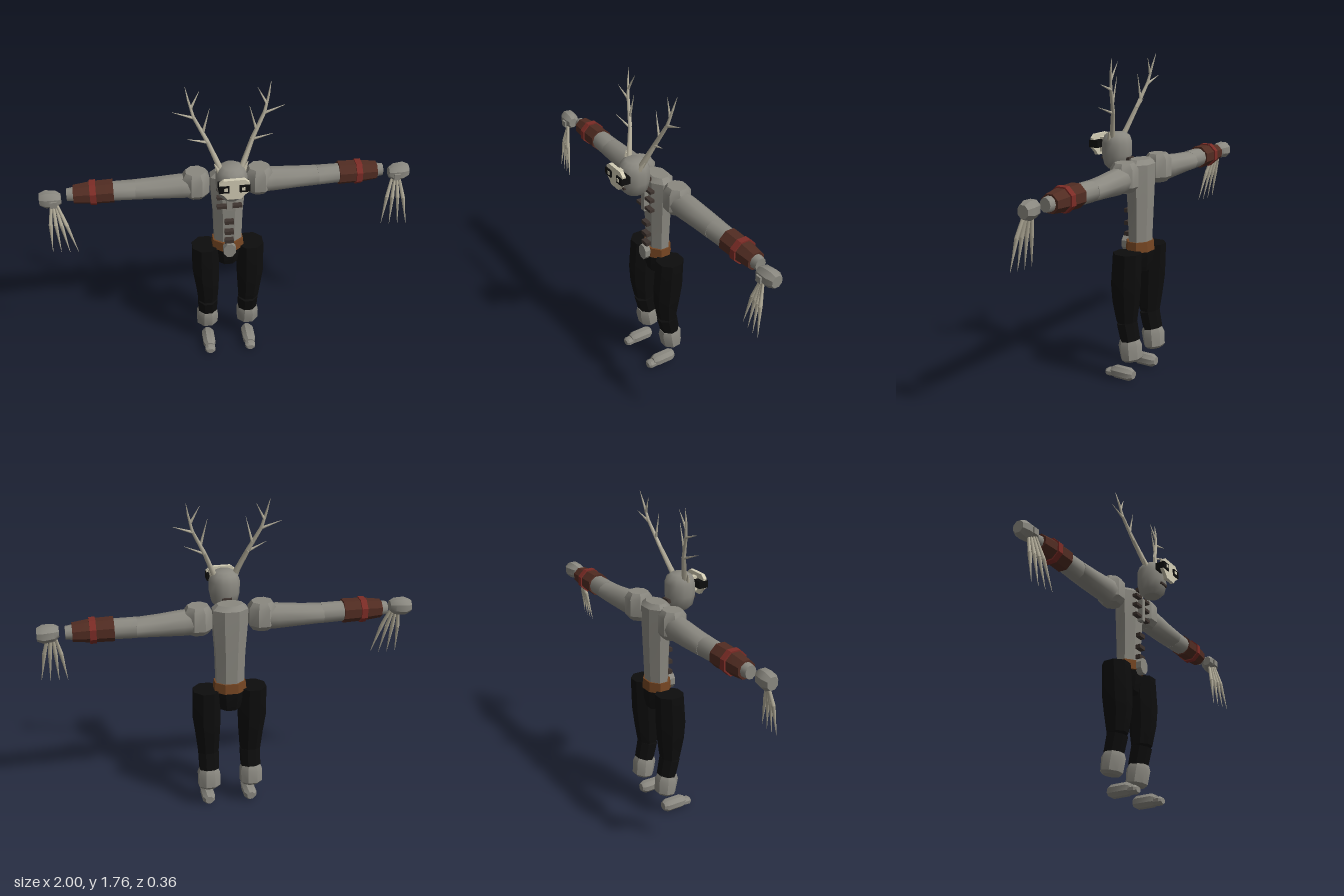
import * as THREE from 'three';
import { toCreasedNormals } from 'three/addons/utils/BufferGeometryUtils.js';

const mat = (name, color) => {
  const m = new THREE.MeshStandardMaterial({ color });
  m.name = name;
  return m;
};

export function createModel() {
  const model = new THREE.Group();
  model.name = 'antleredFigure';
  const skin = mat('greySkin', 0x8a8880), bone = mat('bone', 0xd2ccb4), horn = mat('horn', 0xb3ad9a);
  const cloth = mat('blackCloth', 0x0d0d0d), leather = mat('beltLeather', 0x744522);
  const wrap = mat('armWrap', 0x512c22), red = mat('redBand', 0x7c2c26), dark = mat('darkRib', 0x3e342f);

  const add = (name, geo, material, crease = 0.6) => {
    const mesh = new THREE.Mesh(toCreasedNormals(geo, crease), material);
    mesh.name = name;
    model.add(mesh);
    return mesh;
  };

  // Capped solid through cross-sections [x, y, z, radiusA, radiusB] along one axis
  function loft(axis, sections, n = 8) {
    const pos = [], idx = [], k = 1 / Math.cos(Math.PI / n);
    for (const [x, y, z, a, b = a] of sections) {
      for (let i = 0; i < n; i++) {
        const t = ((i + 0.5) / n) * Math.PI * 2;
        const c = Math.cos(t) * a * k, s = Math.sin(t) * b * k;
        if (axis === 'y') pos.push(x + c, y, z + s);
        else if (axis === 'x') pos.push(x, y + c, z + s);
        else pos.push(x + c, y + s, z);
      }
    }
    const m = sections.length, first = pos.length / 3;
    for (const s of [sections[0], sections[m - 1]]) pos.push(s[0], s[1], s[2]);
    for (let i = 0; i < n; i++) {
      const j = (i + 1) % n;
      for (let r = 0; r < m - 1; r++) {
        const p = r * n, q = p + n;
        idx.push(p + i, q + i, p + j, p + j, q + i, q + j);
      }
      const e = (m - 1) * n;
      idx.push(first, i, j, first + 1, e + j, e + i);
    }
    // Keep faces outward whichever way the sections run
    const v = (i) => new THREE.Vector3().fromArray(pos, i * 3).sub(new THREE.Vector3(...sections[0].slice(0, 3)));
    let volume = 0;
    for (let i = 0; i < idx.length; i += 3) volume += v(idx[i]).dot(v(idx[i + 1]).cross(v(idx[i + 2])));
    if (volume < 0) idx.reverse();
    const g = new THREE.BufferGeometry();
    g.setAttribute('position', new THREE.Float32BufferAttribute(pos, 3));
    g.setIndex(idx);
    return g;
  }

  // Tapered rod between two points
  function rod(name, a, b, r0, r1, material, n = 6) {
    const p = new THREE.Vector3(...a), q = new THREE.Vector3(...b), d = q.clone().sub(p);
    const g = new THREE.CylinderGeometry(r1, r0, d.length(), n);
    g.applyQuaternion(new THREE.Quaternion().setFromUnitVectors(new THREE.Vector3(0, 1, 0), d.normalize()));
    g.translate((a[0] + b[0]) / 2, (a[1] + b[1]) / 2, (a[2] + b[2]) / 2);
    return add(name, g, material, 1.1);
  }

  const box = (name, x, y, z, w, h, d, material) =>
    add(name, new THREE.BoxGeometry(w, h, d).translate(x, y, z), material);

  // Torso, belt and pelvis
  add('torso', loft('y', [[0, 0.76, -0.1, 0.075, 0.055], [0, 0.95, -0.1, 0.08, 0.062],
    [0, 1.12, -0.098, 0.093, 0.068], [0, 1.195, -0.1, 0.093, 0.066], [0, 1.22, -0.1, 0.065, 0.045]]), skin);
  add('belt', loft('y', [[0, 0.72, -0.098, 0.088, 0.069], [0, 0.775, -0.098, 0.083, 0.065]]), leather);
  add('buckle', loft('z', [[0, 0.745, -0.035, 0.034, 0.043], [0, 0.745, 0, 0.034, 0.043]]), skin);
  add('pelvis', loft('y', [[0, 0.61, -0.1, 0.055, 0.05], [0, 0.66, -0.1, 0.07, 0.062], [0, 0.73, -0.1, 0.08, 0.064]]), cloth);

  // Breastbone, ribs and belly bars
  box('breastbone', 0, 1.085, -0.018, 0.03, 0.135, 0.03, skin);
  for (const y of [1.155, 1.1, 1.04])
    for (const s of [-1, 1]) box('rib', s * 0.041, y, -0.02, 0.054, 0.016, 0.028, dark);
  for (const y of [1.21, 0.93, 0.86, 0.8]) box('bellyBar', 0, y, -0.026, 0.05, 0.022, 0.03, dark);

  // Head
  add('head', loft('y', [[0, 1.152, 0.05, 0.045], [0, 1.175, 0.05, 0.068], [0, 1.23, 0.05, 0.08],
    [0, 1.295, 0.05, 0.08], [0, 1.33, 0.05, 0.068], [0, 1.347, 0.05, 0.045]], 12), skin, 0.75);

  // Skull mask with eye sockets
  const face = new THREE.Shape([[-0.055, 1.335], [-0.078, 1.315], [-0.078, 1.262], [-0.05, 1.24], [-0.036, 1.22],
    [0.036, 1.22], [0.05, 1.24], [0.078, 1.262], [0.078, 1.315], [0.055, 1.335]].map((p) => new THREE.Vector2(...p)));
  add('mask', new THREE.ExtrudeGeometry(face, { depth: 0.02, bevelEnabled: false }).translate(0, 0, 0.15), bone);
  box('maskBridge', 0, 1.275, 0.135, 0.03, 0.08, 0.035, bone);
  box('mouth', 0, 1.207, 0.122, 0.056, 0.012, 0.02, dark);
  for (const s of [-1, 1]) {
    box('eyeSocket', s * 0.053, 1.285, 0.15, 0.054, 0.04, 0.054, cloth);
    box('eye', s * 0.045, 1.286, 0.178, 0.018, 0.018, 0.004, bone);
  }

  for (const s of [-1, 1]) {
    const side = s > 0 ? 'left' : 'right';
    const mx = (sections) => sections.map(([x, ...rest]) => [s * x, ...rest]);

    // Antler: beam and tines
    const beam = mx([[0.048, 1.31, 0.05], [0.115, 1.47, 0], [0.18, 1.6, -0.03], [0.203, 1.69, -0.045], [0.216, 1.757, -0.06]]);
    const radii = [0.017, 0.012, 0.009, 0.006, 0.001];
    for (let i = 0; i < 4; i++) rod(side + 'AntlerBeam', beam[i], beam[i + 1], radii[i], radii[i + 1], horn);
    for (const [a, b] of [[[0.115, 1.465, 0], [0.22, 1.505, 0.022]], [[0.135, 1.52, -0.012], [0.1, 1.655, -0.015]],
      [[0.178, 1.595, -0.03], [0.285, 1.632, -0.035]], [[0.192, 1.645, -0.038], [0.146, 1.735, -0.05]]])
      rod(side + 'AntlerTine', ...mx([a, b]), 0.008, 0.0008, horn);
    rod(side + 'AntlerBase', ...mx([[0.06, 1.31, 0.06], [0.088, 1.362, 0.045]]), 0.016, 0.002, horn);

    // Shoulder and arm
    add(side + 'Shoulder', loft('y', mx([[0.17, 1.07, -0.105, 0.05, 0.045], [0.17, 1.1, -0.105, 0.071, 0.068],
      [0.17, 1.195, -0.105, 0.071, 0.068], [0.17, 1.225, -0.105, 0.052, 0.048]])), skin);
    add(side + 'UpperArm', loft('x', mx([[0.18, 1.135, -0.105, 0.066, 0.062], [0.25, 1.135, -0.107, 0.066, 0.063],
      [0.38, 1.133, -0.112, 0.056, 0.062], [0.495, 1.132, -0.113, 0.05, 0.06]]), 10), skin, 0.8);
    add(side + 'Forearm', loft('x', mx([[0.49, 1.132, -0.113, 0.052, 0.058], [0.62, 1.134, -0.113, 0.051, 0.053],
      [0.78, 1.134, -0.113, 0.042, 0.042], [0.855, 1.133, -0.113, 0.034, 0.03]]), 10), skin, 0.8);
    add(side + 'ArmWrap', loft('x', mx([[0.608, 1.135, -0.113, 0.06, 0.06], [0.72, 1.135, -0.113, 0.057, 0.058],
      [0.82, 1.133, -0.113, 0.046, 0.048]])), wrap);
    add(side + 'ArmBand', loft('x', mx([[0.7, 1.135, -0.113, 0.064, 0.066], [0.733, 1.135, -0.113, 0.063, 0.065]])), red);

    // Hand and hanging claws
    add(side + 'Hand', loft('x', mx([[0.885, 1.13, -0.085, 0.026, 0.026], [0.91, 1.128, -0.09, 0.042, 0.04],
      [0.965, 1.127, -0.095, 0.046, 0.045], [0.998, 1.127, -0.097, 0.032, 0.03]])), skin);
    box(side + 'Palm', s * 0.925, 1.12, -0.055, 0.035, 0.035, 0.03, skin);
    const shift = s > 0 ? 0 : 0.035;
    for (let i = 0; i < 4; i++) {
      const t = i / 3 - 0.5, x = s * 0.925, z = -0.055 + 0.02 * t;
      const mid = [x + t * 0.085 + shift * 0.4, 0.99, z + 0.012];
      rod(side + 'ClawRoot', [x + t * 0.022, 1.125, z - 0.02], mid, 0.007, 0.011, horn);
      rod(side + 'ClawTip', mid, [x + t * 0.137 + shift, 0.82 + 0.012 * Math.abs(t), z + 0.036], 0.011, 0.0008, horn);
    }

    // Leg
    add(side + 'Thigh', loft('y', mx([[0.127, 0.73, -0.097, 0.072, 0.072], [0.127, 0.55, -0.088, 0.073, 0.076],
      [0.122, 0.45, -0.085, 0.064, 0.07], [0.119, 0.34, -0.088, 0.055, 0.052]])), cloth);
    const shin = loft('y', mx([[0.118, 0.335, 0, 0.055, 0.053], [0.118, 0.235, 0, 0.053, 0.05]]));
    add(side + 'Shin', shin.translate(0, -0.287, 0).rotateX(0.22).translate(0, 0.287, -0.1), cloth);
    const cuff = loft('y', mx([[0.12, 0.058, 0, 0.05, 0.05], [0.12, 0.03, 0, 0.06, 0.06],
      [0.12, -0.045, 0, 0.06, 0.054], [0.12, -0.06, 0, 0.045, 0.04]]));
    add(side + 'Ankle', cuff.rotateX(0.14).translate(0, 0.182, -0.115), skin);

    // Foot
    add(side + 'Foot', loft('z', mx([[0.12, 0.036, -0.134, 0.022, 0.022], [0.12, 0.035, -0.112, 0.035, 0.034],
      [0.12, 0.035, -0.02, 0.035, 0.034], [0.12, 0.033, 0.004, 0.024, 0.024]])), skin);
    add(side + 'Toe', loft('z', mx([[0.12, 0.026, -0.01, 0.028, 0.02], [0.12, 0.025, 0.027, 0.029, 0.022],
      [0.12, 0.024, 0.04, 0.02, 0.015]])), skin);
  }
  return model;
}
